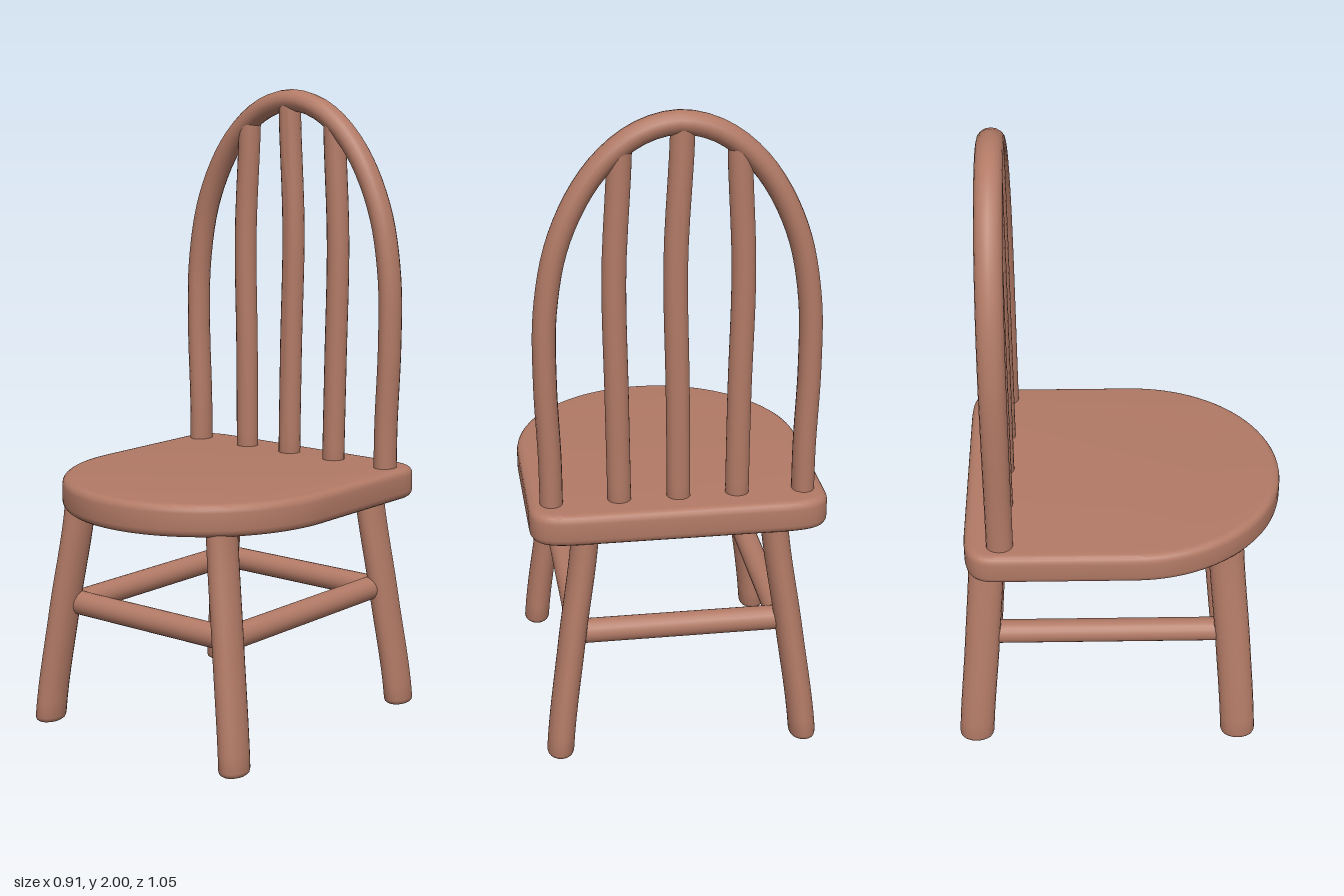
import * as THREE from 'three';
import { toCreasedNormals } from 'three/addons/utils/BufferGeometryUtils.js';

const wood = new THREE.MeshStandardMaterial({ color: 0xb27a66 });

function part(name, geometry) {
  const mesh = new THREE.Mesh(geometry, wood);
  mesh.name = name;
  return mesh;
}

// Elliptical rod with closed, softened ends, whose axis follows points [x, y, z]
function rod(points, rx, rz, soften = 0.015) {
  const curve = new THREE.SplineCurve(points.map(p => new THREE.Vector2(p[0], p[2])));
  const y0 = points[0][1], y1 = points[points.length - 1][1];
  const profile = [new THREE.Vector2(0, y0), new THREE.Vector2(0.8, y0), new THREE.Vector2(0.94, y0 + soften * 0.35)];
  for (let i = 0; i <= 14; i++) {
    profile.push(new THREE.Vector2(1, y0 + soften + (y1 - y0 - soften) * i / 14));
  }
  profile.push(new THREE.Vector2(0, y1));
  const geo = new THREE.LatheGeometry(profile, 20);
  const pos = geo.attributes.position;
  for (let i = 0; i < pos.count; i++) {
    const y = pos.getY(i);
    const c = curve.getPoint(THREE.MathUtils.clamp((y - y0) / (y1 - y0), 0, 1));
    pos.setXYZ(i, pos.getX(i) * rx + c.x, y, pos.getZ(i) * rz + c.y);
  }
  return toCreasedNormals(geo, 0.9);
}

// Straight round bar between two points
function bar(a, b, radius) {
  const from = new THREE.Vector3(...a), to = new THREE.Vector3(...b);
  const dir = to.clone().sub(from);
  const geo = new THREE.CylinderGeometry(radius, radius, dir.length(), 20);
  geo.applyQuaternion(new THREE.Quaternion().setFromUnitVectors(new THREE.Vector3(0, 1, 0), dir.normalize()));
  return geo.translate(...from.add(to).multiplyScalar(0.5).toArray());
}

// Seat: near-square back with rounded corners, half-elliptical front
function makeSeat() {
  const w = 0.455, back = -0.48, cz = 0.05;
  const shape = new THREE.Shape();
  shape.moveTo(-0.3, back);
  shape.lineTo(0.3, back);
  shape.bezierCurveTo(0.4, back, w, -0.465, w, -0.38);
  shape.lineTo(w, cz);
  shape.absellipse(0, cz, w, 0.475, 0, Math.PI, false);
  shape.lineTo(-w, -0.38);
  shape.bezierCurveTo(-w, -0.465, -0.4, back, -0.3, back);
  const geo = new THREE.ExtrudeGeometry(shape, {
    depth: 0.052, bevelEnabled: true, bevelThickness: 0.024, bevelSize: 0.024,
    bevelOffset: -0.024, bevelSegments: 4, curveSegments: 24,
  });
  geo.rotateX(Math.PI / 2).translate(0, 0.786, 0);
  return part('seat', toCreasedNormals(geo, 0.6));
}

// Bent hoop of the backrest, slightly deeper than it is wide
function makeHoop(z) {
  const half = [[0.385, 0.76], [0.386, 0.95], [0.395, 1.2], [0.39, 1.42], [0.352, 1.62],
    [0.275, 1.785], [0.19, 1.885], [0.1, 1.943]];
  const path = [
    ...half.map(([x, y]) => new THREE.Vector3(-x, y, 0)),
    new THREE.Vector3(0, 1.965, 0),
    ...half.slice().reverse().map(([x, y]) => new THREE.Vector3(x, y, 0)),
  ];
  const geo = new THREE.TubeGeometry(new THREE.CatmullRomCurve3(path), 72, 0.035, 16);
  geo.scale(1, 1, 1.18).translate(0, 0, z);
  return part('backHoop', geo);
}

export function createModel() {
  const chair = new THREE.Group();
  chair.name = 'chair';
  chair.add(makeSeat());

  // Backrest with three gently bowed spindles
  const backZ = -0.366;
  const backrest = new THREE.Group();
  backrest.name = 'backrest';
  backrest.add(makeHoop(backZ));
  const spindles = [
    ['rightSpindle', [-0.181, -0.184, -0.191, -0.174], 1.9],
    ['middleSpindle', [-0.002, 0.002, 0.009, -0.01], 1.95],
    ['leftSpindle', [0.179, 0.184, 0.189, 0.17], 1.9],
  ];
  for (const [name, xs, top] of spindles) {
    const points = xs.map((x, i) => [x, 0.76 + (top - 0.76) * i / (xs.length - 1), backZ]);
    backrest.add(part(name, rod(points, 0.036, 0.036)));
  }
  chair.add(backrest);

  // Splayed legs, leaning outwards to the corners
  const legs = new THREE.Group();
  legs.name = 'legs';
  for (const side of [-1, 1]) {
    for (const [name, topZ, midZ, footZ] of [['frontLeg', 0.337, 0.367, 0.392], ['backLeg', -0.412, -0.438, -0.468]]) {
      const points = [[side * 0.383, 0, footZ], [side * 0.338, 0.37, midZ], [side * 0.288, 0.74, topZ]];
      legs.add(part((side < 0 ? 'right ' : 'left ') + name, rod(points, 0.042, 0.056)));
    }
  }
  chair.add(legs);

  // Ring of four stretchers
  const y = 0.39, r = 0.038, x = 0.312, zf = 0.335, zb = -0.412;
  const stretchers = new THREE.Group();
  stretchers.name = 'stretchers';
  stretchers.add(part('frontStretcher', bar([-x, y, zf], [x, y, zf], r)));
  stretchers.add(part('backStretcher', bar([-x, y, zb], [x, y, zb], r)));
  for (const side of [-1, 1]) {
    stretchers.add(part('sideStretcher', bar([side * x, y, zb], [side * x, y, zf], r)));
  }
  chair.add(stretchers);

  return chair;
}
